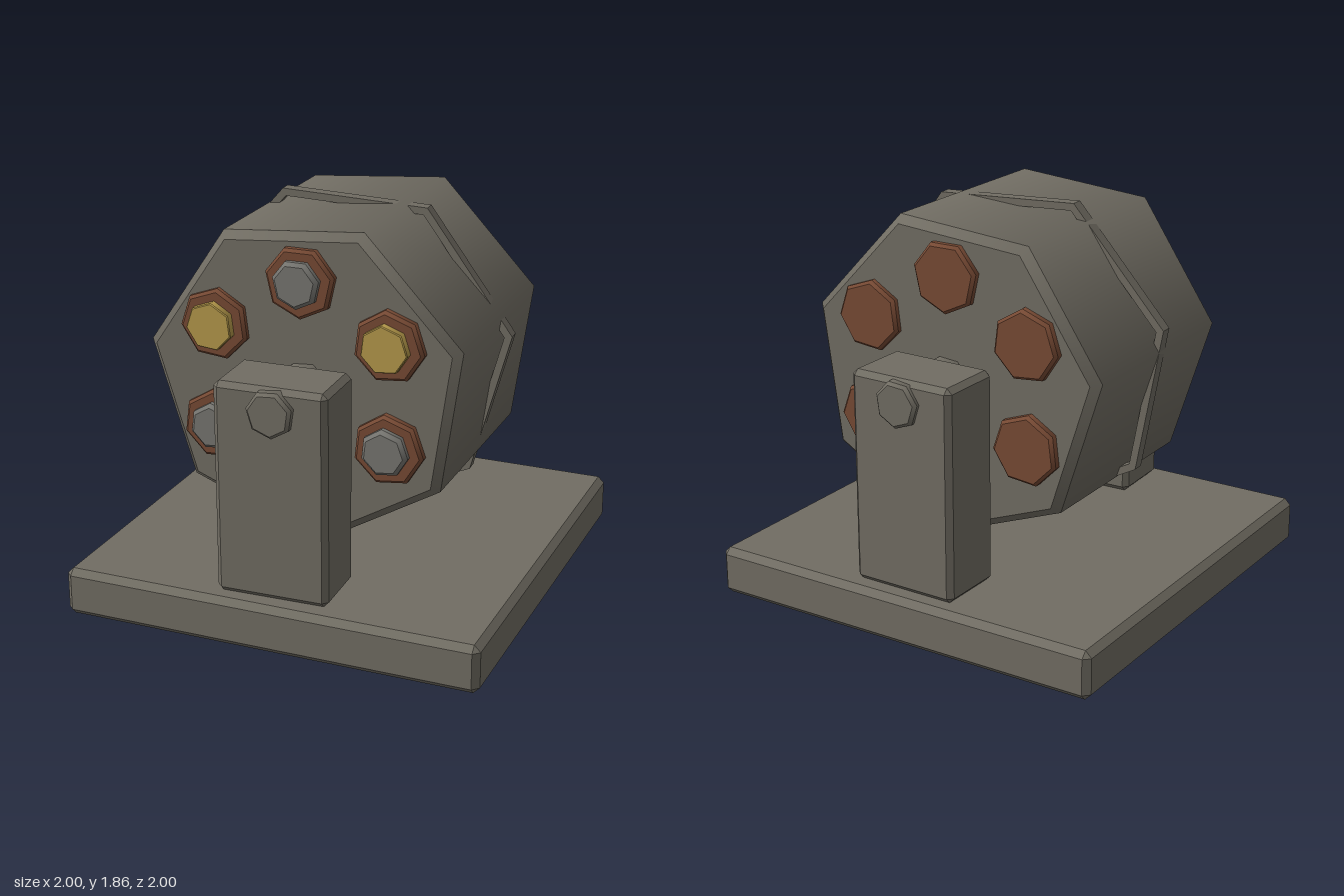
import * as THREE from 'three';
import { mergeGeometries } from 'three/addons/utils/BufferGeometryUtils.js';
import { ConvexGeometry } from 'three/addons/geometries/ConvexGeometry.js';

const SIDES = 7;
const AXIS_Y = 1.12;

// Box with flat chamfers: three corner points per corner, hulled
function chamferBox(w, h, d, c) {
  const pts = [];
  for (const sx of [-1, 1]) for (const sy of [-1, 1]) for (const sz of [-1, 1]) {
    const [x, y, z] = [w / 2, h / 2, d / 2];
    pts.push(new THREE.Vector3(sx * x, sy * (y - c), sz * (z - c)));
    pts.push(new THREE.Vector3(sx * (x - c), sy * y, sz * (z - c)));
    pts.push(new THREE.Vector3(sx * (x - c), sy * (y - c), sz * z));
  }
  return new ConvexGeometry(pts);
}

// Seven-sided barrel along z, smooth around its sides, with chamfered rims
function barrel(r, length, c, turn = 0) {
  const tube = (top, bottom, h, y) =>
    new THREE.CylinderGeometry(top, bottom, h, SIDES, 1, true).translate(0, y, 0);
  const h = length / 2;
  const cap = new THREE.CircleGeometry(r - c, SIDES, Math.PI / 2);
  const geo = mergeGeometries([
    tube(r, r, length - 2 * c, 0),
    tube(r - c, r, c, h - c / 2),
    tube(r, r - c, c, -h + c / 2),
    cap.clone().rotateX(-Math.PI / 2).rotateY(Math.PI).translate(0, h, 0),
    cap.clone().rotateX(Math.PI / 2).translate(0, -h, 0),
  ]);
  return geo.rotateX(Math.PI / 2).rotateZ(turn);
}

// Closed heptagon path
function heptagon(PathType, r, turn) {
  const pts = [];
  for (let i = 0; i < SIDES; i++) {
    const a = turn + (i * Math.PI * 2) / SIDES;
    pts.push(new THREE.Vector2(r * Math.cos(a), r * Math.sin(a)));
  }
  return new PathType(pts);
}

export function createModel() {
  const model = new THREE.Group();
  const mat = (name, color) => {
    const m = new THREE.MeshStandardMaterial({ color });
    m.name = name;
    return m;
  };
  const stone = mat('grey stone', 0x716d63);
  const copper = mat('copper', 0x774a34);
  const brass = mat('brass', 0xb4984a);
  const steel = mat('steel grey', 0x767570);

  const add = (name, geo, material, x, y, z, yaw = 0) => {
    const mesh = new THREE.Mesh(geo, material);
    mesh.name = name;
    mesh.position.set(x, y, z);
    mesh.rotation.y = yaw;
    model.add(mesh);
    return mesh;
  };

  // Base slab and the two uprights
  add('base', chamferBox(2, 0.23, 2, 0.03), stone, 0, 0.115, 0);
  add('frontPost', chamferBox(0.53, 1.0, 0.325, 0.025), stone, 0, 0.73, 0.76, 0.03);
  add('backPost', chamferBox(0.525, 1.0, 0.335, 0.025), stone, 0, 0.73, -0.76, -0.01);

  // Axle running through both posts
  add('axle', barrel(0.11, 1.92, 0.015, 0.08), stone, 0.01, AXIS_Y, 0, 0.008);

  // Main drum
  add('drum', barrel(0.769, 1.11, 0.04, 0.082), stone, 0, AXIS_Y, 0, 0.008);

  // Loose band around the drum, slightly askew
  const bandShape = heptagon(THREE.Shape, 0.803, 0.18);
  bandShape.holes.push(heptagon(THREE.Path, 0.765, 0.18));
  const bandGeo = new THREE.ExtrudeGeometry(bandShape, { depth: 0.06, bevelEnabled: false });
  add('band', bandGeo.translate(0, 0, -0.03), stone, -0.005, AXIS_Y, -0.01, 0.048);

  // Six copper chambers with plugs: angle, twist, plug material
  const chambers = [
    [90, 0, steel], [150, 0.35, brass], [210, -0.35, steel],
    [270, 0, steel], [330, -0.33, steel], [30, -0.35, brass],
  ];
  for (const [deg, twist, plug] of chambers) {
    const a = THREE.MathUtils.degToRad(deg);
    const x = 0.48 * Math.cos(a);
    const y = AXIS_Y + 0.48 * Math.sin(a);
    add('chamber', barrel(0.167, 1.19, 0.015, twist), copper, x, y, 0, 0.008);
    add('plug', barrel(0.112, 0.1, plug === brass ? 0.005 : 0.018, twist), plug, x, y, 0.585);
  }
  return model;
}
